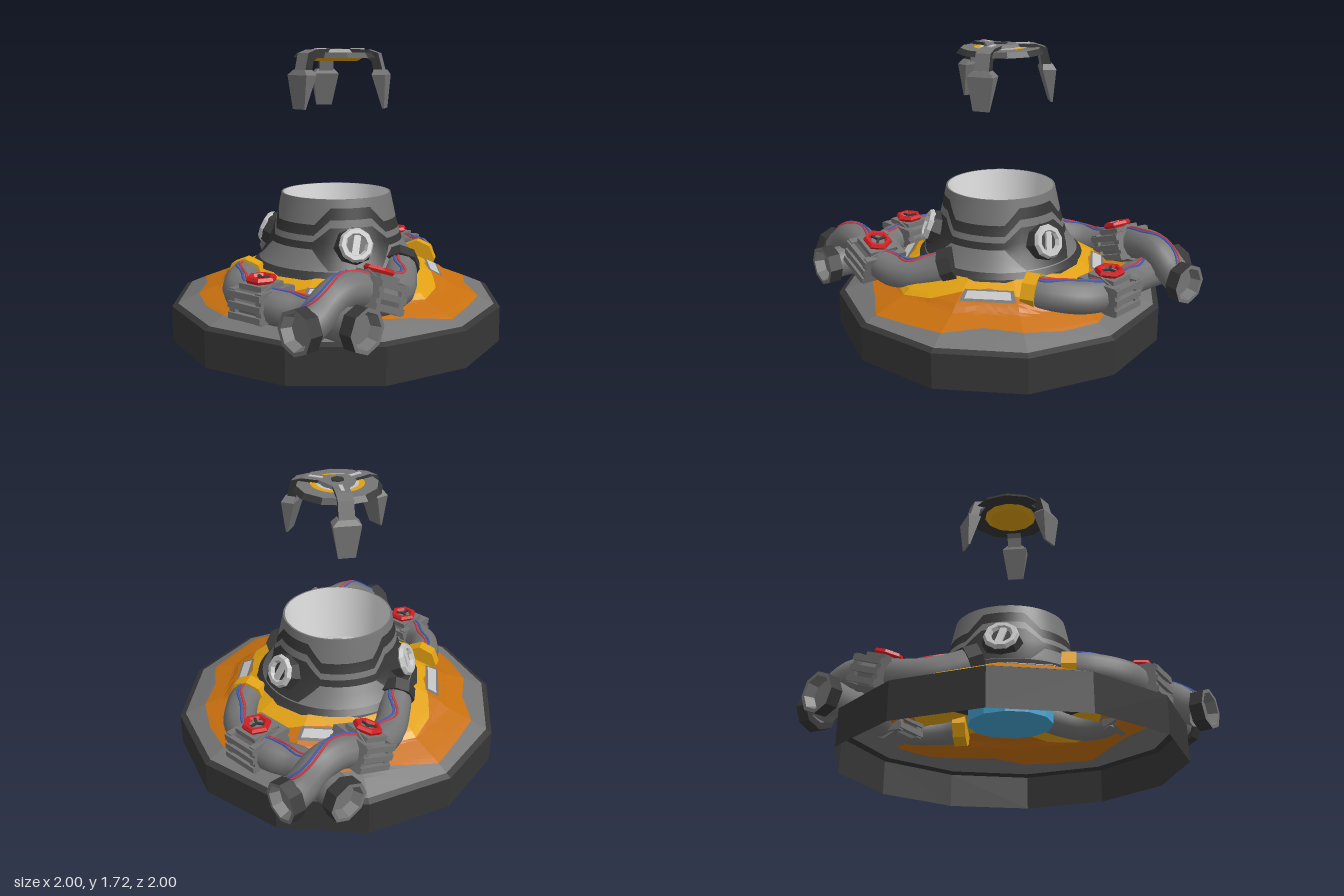
import * as THREE from 'three';

const makeMat = (name, color) => {
  const m = new THREE.MeshStandardMaterial({ color, side: THREE.DoubleSide });
  m.name = name;
  return m;
};
const rad = THREE.MathUtils.degToRad;
const V = (x, y, z) => new THREE.Vector3(x, y, z);

// Piecewise linear lookup through [key, value] pairs with rising keys
function lerpTable(t, pts) {
  if (t <= pts[0][0]) return pts[0][1];
  for (let i = 1; i < pts.length; i++) {
    const [k0, v0] = pts[i - 1], [k1, v1] = pts[i];
    if (t <= k1) return v0 + (v1 - v0) * (t - k0) / (k1 - k0);
  }
  return pts[pts.length - 1][1];
}
// Outline radius every 15 degrees, repeating each half turn
const outline = (list) => (a) => {
  const s = (((a % 180) + 180) % 180) / 15, i = Math.floor(s);
  return THREE.MathUtils.lerp(list[i], list[(i + 1) % 12], s - i);
};

export function createModel() {
  const gray = makeMat('metal gray', 0x757575), dark = makeMat('dark metal', 0x363636);
  const orange = makeMat('orange paint', 0xc8700f), yellow = makeMat('yellow paint', 0xe0a012);
  const light = makeMat('light gray', 0xc2c2c2), pale = makeMat('pale lining', 0xe2e2e2);
  const red = makeMat('valve red', 0xd01f22), cyan = makeMat('tank blue', 0x46a4d2);
  const lineRed = makeMat('line red', 0xd04048), lineBlue = makeMat('line blue', 0x4560b8);

  const model = new THREE.Group();
  model.name = 'reactorBase';
  const add = (parent, name, geo, mat, pos = [0, 0, 0], rot = [0, 0, 0]) => {
    const m = new THREE.Mesh(geo, mat);
    m.name = name;
    m.position.set(...pos);
    m.rotation.set(...rot);
    parent.add(m);
    return m;
  };
  const group = (parent, name) => {
    const g = new THREE.Group();
    g.name = name;
    parent.add(g);
    return g;
  };
  const flat = (geo) => {
    const g = geo.index ? geo.toNonIndexed() : geo;
    g.computeVertexNormals();
    return g;
  };

  // Painted strip on a surface of revolution, between two boundary rules
  function strip(name, mat, lo, hi, surf, { a0 = 0, a1 = 360, rows = 6, step = 5, smooth = false } = {}) {
    const cols = Math.round((a1 - a0) / step), pos = [], idx = [];
    for (let i = 0; i <= cols; i++) {
      const a = a0 + (a1 - a0) * i / cols;
      for (let j = 0; j <= rows; j++) {
        const [r, y] = surf(THREE.MathUtils.lerp(lo(a), hi(a), j / rows), a);
        pos.push(r * Math.cos(rad(a)), y, r * Math.sin(rad(a)));
        if (i < cols && j < rows) {
          const p = i * (rows + 1) + j, q = p + rows + 1;
          idx.push(p, p + 1, q, q, p + 1, q + 1);
        }
      }
    }
    const g = new THREE.BufferGeometry();
    g.setAttribute('position', new THREE.Float32BufferAttribute(pos, 3));
    g.setIndex(idx);
    g.computeVertexNormals();
    add(model, name, smooth ? g : flat(g), mat);
  }
  const at = (v) => () => v;

  // Twelve-sided skirt and painted deck
  add(model, 'skirt', flat(new THREE.CylinderGeometry(1, 1, 0.21, 12, 1, true)), dark, [0, 0.105, 0]);
  const facet = (a) => Math.cos(rad(15)) / Math.cos(rad((((a % 30) + 30) % 30) - 15));
  const height = [[0.44, 0.465], [0.5, 0.435], [0.685, 0.35], [0.71, 0.325], [0.85, 0.275], [0.965, 0.225], [1, 0.21]];
  const deck = (lift) => (r, a) => [r * facet(a), lerpTable(r, height) + lift];
  const orangeEdge = outline([0.9, 0.84, 0.8, 0.85, 0.88, 0.82, 0.87, 0.88, 0.84, 0.82, 0.87, 0.89]);
  const yellowEdge = outline([0.71, 0.7, 0.6, 0.56, 0.57, 0.65, 0.67, 0.67, 0.61, 0.56, 0.59, 0.69]);
  const darkEdge = (a) => 0.5 + 0.018 * Math.sign(Math.round(Math.sin(rad(a * 6)) * 2));
  strip('deckRim', dark, at(0.965), at(1), deck(0), { rows: 1 });
  strip('deckOuter', gray, orangeEdge, at(0.965), deck(0));
  strip('deckOrange', orange, yellowEdge, orangeEdge, deck(0), { rows: 10 });
  strip('deckYellow', yellow, darkEdge, yellowEdge, deck(0));
  strip('deckInner', dark, at(0.44), darkEdge, deck(0), { rows: 2 });
  for (const a of [47, 133, 227, 315]) {
    strip('lampFrame', gray, at(0.575), at(0.66), deck(0.004), { a0: a - 14, a1: a + 14, rows: 4, step: 2 });
    strip('lampPlate', light, at(0.59), at(0.645), deck(0.008), { a0: a - 12, a1: a + 12, rows: 4, step: 2 });
  }

  // Flared neck with dark bands that rise over the three vents at 30, 150 and 270 degrees
  const neckR = [[0.44, 0.5], [0.48, 0.46], [0.58, 0.4], [0.7, 0.365], [0.86, 0.33]];
  const neck = (y) => [lerpTable(y, neckR), y];
  const wave = (nearVent, between) => (a) => {
    const d = Math.abs(((a - 30 + 420) % 120) - 60);
    return THREE.MathUtils.lerp(nearVent, between, THREE.MathUtils.clamp((d - 20) / 15, 0, 1));
  };
  const edges = [at(0.86), wave(0.81, 0.715), wave(0.745, 0.655), wave(0.7, 0.62), wave(0.475, 0.58), at(0.47), at(0.44)];
  [gray, dark, gray, dark, gray, dark].forEach((mat, i) =>
    strip('neckBand', mat, edges[i + 1], edges[i], neck, { rows: 3, smooth: true }));
  strip('neckLip', gray, at(0.32), at(0.33), (r) => [r, 0.86], { rows: 1 });
  strip('neckLining', pale, at(0.5), at(0.86), (y) => [0.305 + (y - 0.5) * 0.042, y], { rows: 1, smooth: true });
  strip('neckFloorRing', light, at(0.27), at(0.305), (r) => [r, 0.506], { rows: 1 });
  add(model, 'neckFloor', new THREE.CircleGeometry(0.43, 36), gray, [0, 0.5, 0], [-Math.PI / 2, 0, 0]);
  add(model, 'tank', flat(new THREE.CylinderGeometry(0.25, 0.25, 0.24, 12)), cyan, [0, 0.37, 0]);

  // Vents: local z points out of the neck
  for (const a of [30, 150, 270]) {
    const turn = group(model, 'ventMount');
    turn.rotation.y = Math.PI / 2 - rad(a);
    const vent = group(turn, 'vent');
    vent.position.set(0, 0.6, 0.4);
    vent.rotation.x = -0.38;
    add(vent, 'ventHousing', flat(new THREE.CylinderGeometry(0.1, 0.12, 0.07, 8)), dark, [0, 0, 0.005], [Math.PI / 2, 0, 0]);
    add(vent, 'ventRing', flat(new THREE.TorusGeometry(0.078, 0.024, 6, 10)), light, [0, 0, 0.045]);
    add(vent, 'ventBar', new THREE.BoxGeometry(0.04, 0.13, 0.02), light, [0, 0, 0.045], [0, 0, -0.25]);
  }

  // Places an object with local x along a pipe and local y upward
  const place = (o, p, dir) => {
    const x = dir.clone().normalize(), z = V(0, 1, 0).cross(x).negate().normalize();
    const y = z.clone().cross(x);
    o.quaternion.setFromRotationMatrix(new THREE.Matrix4().makeBasis(x, y, z));
    o.position.copy(p);
  };

  function addValve(parent, p, dir) {
    const v = group(parent, 'valve');
    place(v, p, dir);
    add(v, 'valveSleeve', flat(new THREE.CylinderGeometry(0.118, 0.118, 0.18, 8)), gray, [0, 0, 0], [0, 0, Math.PI / 2]);
    for (const s of [-1, 1]) {
      add(v, 'valvePlate', new THREE.BoxGeometry(0.04, 0.17, 0.26), gray, [s * 0.095, 0, 0]);
      for (const y of [-0.06, 0, 0.06])
        add(v, 'valveBar', new THREE.BoxGeometry(0.23, 0.035, 0.03), gray, [0, y, s * 0.128]);
    }
    add(v, 'valveCap', new THREE.BoxGeometry(0.16, 0.03, 0.18), gray, [0, 0.095, 0]);
    add(v, 'valveStem', new THREE.CylinderGeometry(0.045, 0.055, 0.03, 6), gray, [0, 0.115, 0]);
    add(v, 'valveWheel', flat(new THREE.TorusGeometry(0.068, 0.02, 6, 6)), red, [0, 0.127, 0], [Math.PI / 2, 0, 0]);
    for (let i = 0; i < 3; i++) {
      const a = i * 2 * Math.PI / 3 + Math.PI / 6;
      add(v, 'wheelSpoke', new THREE.BoxGeometry(0.07, 0.012, 0.014), dark,
        [0.035 * Math.cos(a), 0.134, -0.035 * Math.sin(a)], [0, a, 0]);
    }
  }

  // Pipe with a collar, two wavy painted lines and an open flange facing endDir
  function addPipe(parent, pts, collarMat, endDir) {
    const curve = new THREE.CatmullRomCurve3(pts.map((p) => V(...p)));
    add(parent, 'pipe', new THREE.TubeGeometry(curve, 40, 0.098, 12), gray);
    [[lineRed, -0.1], [lineBlue, 0.12]].forEach(([mat, shift]) => {
      const line = [];
      for (let i = 0; i <= 24; i++) {
        const u = 0.04 + 0.86 * i / 24, t = curve.getTangent(u);
        const side = t.clone().cross(V(0, 1, 0)).normalize(), up = side.clone().cross(t);
        const a = shift + 0.25 * Math.sin(u * 22);
        line.push(curve.getPoint(u).addScaledVector(up, 0.097 * Math.cos(a)).addScaledVector(side, 0.097 * Math.sin(a)));
      }
      add(parent, 'pipeLine', new THREE.TubeGeometry(new THREE.CatmullRomCurve3(line), 60, 0.008, 4), mat);
    });
    const collar = group(parent, 'collar');
    place(collar, curve.getPoint(0.02), curve.getTangent(0.02));
    add(collar, 'collarRing', flat(new THREE.CylinderGeometry(0.115, 0.115, 0.08, 8)), collarMat, [0, 0, 0], [0, 0, Math.PI / 2]);
    const end = group(parent, 'flange');
    place(end, curve.getPoint(1), endDir);
    const turn = [0, 0, -Math.PI / 2];
    add(end, 'flangeRim', flat(new THREE.CylinderGeometry(0.122, 0.122, 0.08, 8, 1, true)), dark, [0.03, 0, 0], turn);
    add(end, 'flangeBack', new THREE.RingGeometry(0.08, 0.122, 8), dark, [-0.01, 0, 0], [0, Math.PI / 2, 0]);
    add(end, 'flangeFace', new THREE.RingGeometry(0.1, 0.122, 8), gray, [0.07, 0, 0], [0, Math.PI / 2, 0]);
    add(end, 'flangeBore', flat(new THREE.CylinderGeometry(0.1, 0.08, 0.06, 8, 1, true)), gray, [0.04, 0, 0], turn);
    add(end, 'flangePlug', new THREE.CircleGeometry(0.085, 8), gray, [0.012, 0, 0], [0, Math.PI / 2, 0]);
  }

  // Two pipes on each side, repeated by a half turn
  for (const turn of [0, Math.PI]) {
    const pipes = group(model, 'pipePair');
    pipes.rotation.y = turn;
    addPipe(pipes, [[-0.21, 0.39, 0.52], [-0.13, 0.385, 0.64], [0, 0.37, 0.74], [0.18, 0.36, 0.765], [0.32, 0.35, 0.75],
      [0.45, 0.34, 0.68], [0.6, 0.335, 0.66], [0.74, 0.335, 0.665], [0.82, 0.335, 0.665]], yellow, V(1, 0, 0));
    addPipe(pipes, [[0.43, 0.47, -0.1], [0.52, 0.42, 0], [0.61, 0.39, 0.12], [0.66, 0.4, 0.25], [0.67, 0.43, 0.38],
      [0.67, 0.48, 0.56], [0.67, 0.47, 0.68], [0.668, 0.38, 0.81], [0.665, 0.34, 0.88]], dark, V(0, 0, 1));
    addValve(pipes, V(0.19, 0.36, 0.755), V(1, 0, -0.13));
    addValve(pipes, V(0.67, 0.43, 0.39), V(0, 0.38, 1));
  }

  // Floating claw: round plate and three arms with tapered pads
  const claw = group(model, 'claw');
  add(claw, 'clawPlate', flat(new THREE.CylinderGeometry(0.235, 0.26, 0.03, 12)), [dark, gray, dark], [0, 1.673, 0]);
  add(claw, 'clawUnderside', flat(new THREE.CylinderGeometry(0.17, 0.13, 0.022, 12)), yellow, [0, 1.65, 0]);
  add(claw, 'clawYellowRing', new THREE.RingGeometry(0.122, 0.155, 24), yellow, [0, 1.691, 0], [-Math.PI / 2, 0, 0]);
  add(claw, 'clawLightRing', new THREE.RingGeometry(0.1, 0.122, 24), light, [0, 1.691, 0], [-Math.PI / 2, 0, 0]);
  add(claw, 'clawHub', flat(new THREE.CylinderGeometry(0.17, 0.19, 0.025, 3)), gray, [0, 1.696, 0]);
  add(claw, 'clawHubCap', new THREE.CylinderGeometry(0.04, 0.04, 0.008, 6), dark, [0, 1.711, 0]);
  const armShape = new THREE.Shape([[0.03, 1.675], [0.03, 1.708], [0.2, 1.706], [0.265, 1.685], [0.295, 1.57], [0.24, 1.57],
    [0.225, 1.64], [0.19, 1.66]].map((p) => new THREE.Vector2(...p)));
  const armGeo = new THREE.ExtrudeGeometry(armShape, { depth: 0.09, bevelEnabled: false });
  const padGeo = new THREE.BoxGeometry(0.16, 0.22, 0.08, 1, 2, 1);
  const pp = padGeo.attributes.position;
  for (let i = 0; i < pp.count; i++) {
    const y = pp.getY(i), out = pp.getZ(i) > 0;
    if (y > 0.1) pp.setXYZ(i, pp.getX(i) * 0.62, 0.115, out ? 0.03 : -0.03);
    else if (y > -0.1) pp.setXYZ(i, pp.getX(i), 0.085, out ? 0.045 : -0.035);
    else pp.setXYZ(i, pp.getX(i) * 0.62, -0.11, out ? 0.033 : 0.022);
  }
  const flatPad = flat(padGeo);
  for (let i = 0; i < 3; i++) {
    const arm = group(claw, 'clawArm');
    arm.rotation.y = i * 2 * Math.PI / 3;
    add(arm, 'armBar', armGeo, [dark, gray], [0.045, 0, 0], [0, -Math.PI / 2, 0]);
    add(arm, 'armStripe', new THREE.BoxGeometry(0.022, 0.008, 0.08), light, [0, 1.709, 0.13]);
    add(arm, 'clawPad', flatPad, gray, [0, 1.475, 0.27]);
  }
  return model;
}
